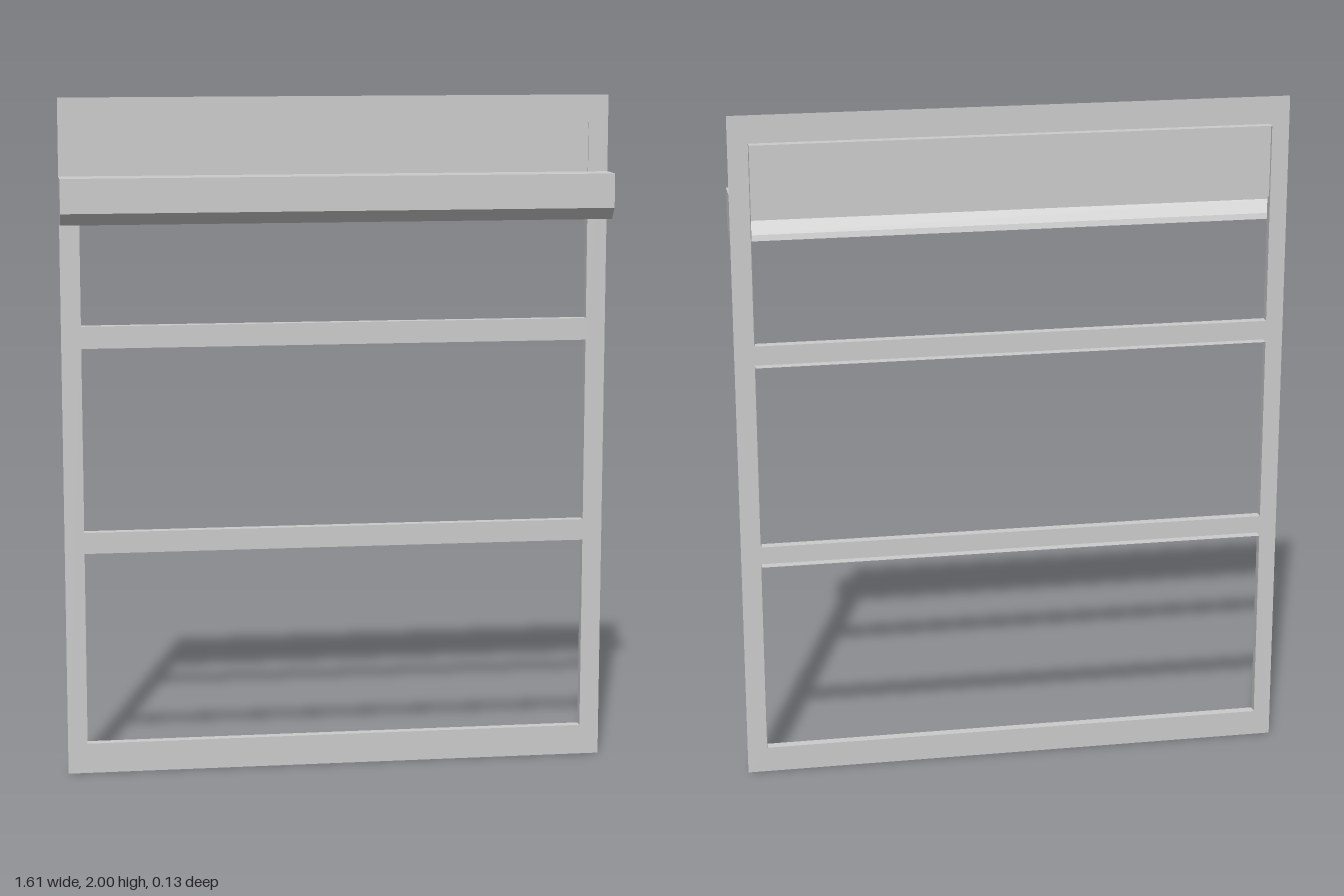
import * as THREE from 'three';

const material = new THREE.MeshStandardMaterial({ color: 0xcccccc, flatShading: true, side: THREE.DoubleSide });

const HALF = 0.806, INNER = 0.748, HEIGHT = 2;
const FACE_Z = -0.035, BACK_Z = -0.063, FRONT_Z = 0.063;
const openings = [[0.09, 0.667], [0.73, 1.275], [1.34, 1.92]];

function addMesh(parent, name, geometry) {
  const mesh = new THREE.Mesh(geometry, material);
  mesh.name = name;
  parent.add(mesh);
  return mesh;
}

// Sheet swept between matching points of two polylines
function sheet(a, b) {
  const pos = [];
  for (let i = 0; i + 1 < a.length; i++) {
    for (const p of [a[i], b[i], b[i + 1], a[i], b[i + 1], a[i + 1]]) pos.push(...p);
  }
  const geometry = new THREE.BufferGeometry();
  geometry.setAttribute('position', new THREE.Float32BufferAttribute(pos, 3));
  geometry.computeVertexNormals();
  return geometry;
}

const rectangle = (half, y0, y1) => [[-half, y0], [half, y0], [half, y1], [-half, y1]];
const toVectors = (points) => points.map(([x, y]) => new THREE.Vector2(x, y));

export function createModel() {
  const group = new THREE.Group();
  group.name = 'windowFrame';

  // Flat frame face with three openings
  const face = new THREE.Shape(toVectors(rectangle(HALF, 0, HEIGHT)));
  for (const [y0, y1] of openings) {
    face.holes.push(new THREE.Path(toVectors(rectangle(INNER, y0, y1).reverse())));
  }
  addMesh(group, 'frameFace', new THREE.ShapeGeometry(face)).position.z = FACE_Z;

  // Thin reveals running back from each opening
  openings.forEach(([y0, y1], i) => {
    const loop = rectangle(INNER, y0, y1);
    loop.push(loop[0]);
    addMesh(group, `reveal${i + 1}`, sheet(
      loop.map(([x, y]) => [x, y, FACE_Z]),
      loop.map(([x, y]) => [x, y, BACK_Z])
    ));
  });

  // Panel closing the top of the upper opening
  const panelBottom = 1.71, panelTop = openings[2][1];
  const panel = addMesh(group, 'upperPanel',
    new THREE.BoxGeometry(2 * INNER, panelTop - panelBottom, 0.012));
  panel.position.set(0, (panelTop + panelBottom) / 2, -0.046);

  // Hollow cross bar, open at the back, with a chamfered lower front edge
  const bar = new THREE.Group();
  bar.name = 'crossBar';
  group.add(bar);
  const profile = [[FACE_Z, 1.775], [FRONT_Z, 1.775], [FRONT_Z, 1.675], [0.033, 1.64], [FACE_Z, 1.64]];
  addMesh(bar, 'barShell', sheet(
    profile.map(([z, y]) => [-HALF, y, z]),
    profile.map(([z, y]) => [HALF, y, z])
  ));
  const endShape = new THREE.Shape(toVectors(profile.map(([z, y]) => [-z, y])));
  for (const side of [-1, 1]) {
    const end = addMesh(bar, side > 0 ? 'leftBarEnd' : 'rightBarEnd', new THREE.ShapeGeometry(endShape));
    end.rotation.y = Math.PI / 2;
    end.position.x = side * HALF;
  }

  return group;
}
